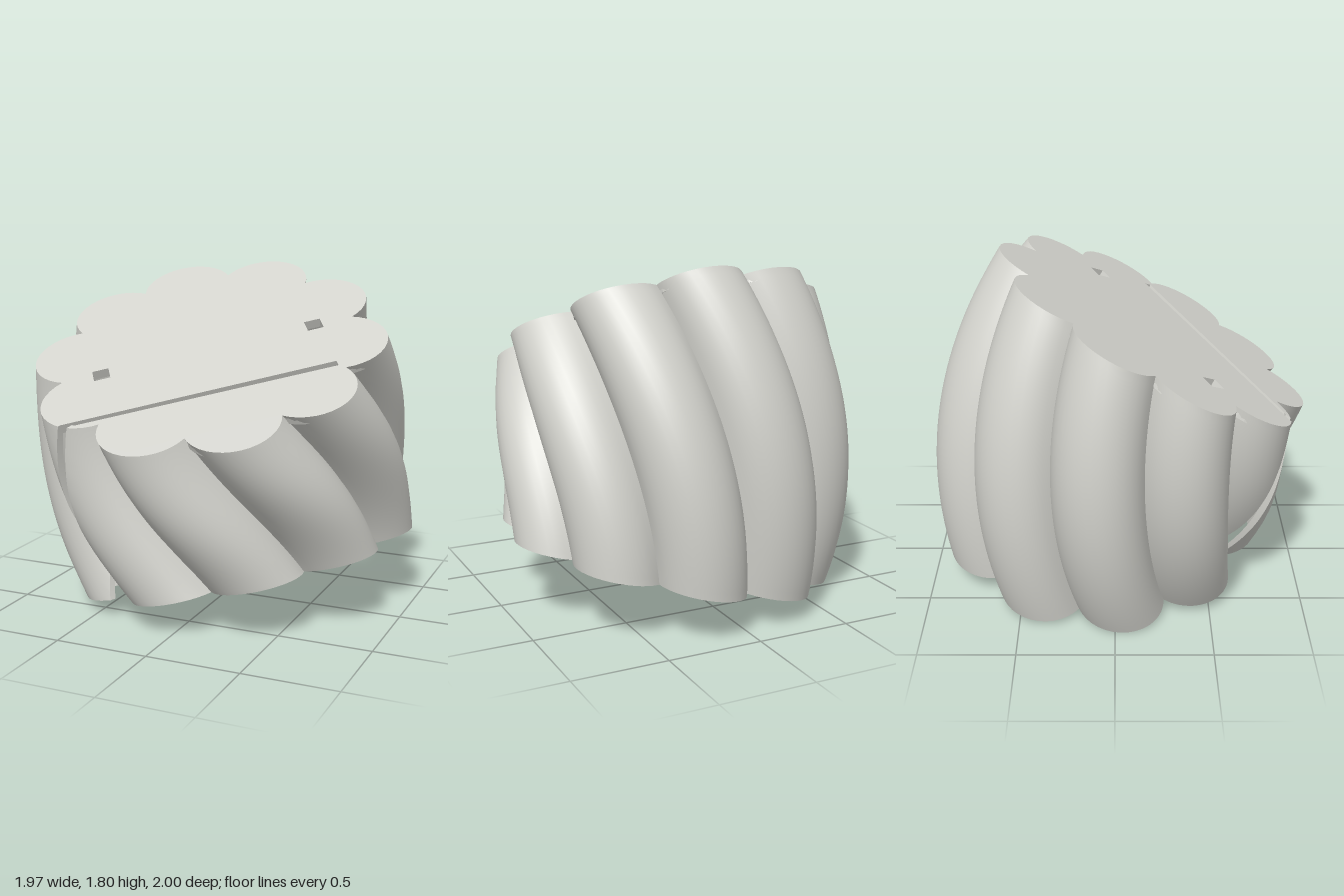
import * as THREE from 'three';
import { toCreasedNormals } from 'three/addons/utils/BufferGeometryUtils.js';

const rad = THREE.MathUtils.degToRad;
const { lerp, clamp } = THREE.MathUtils;
const V = (x, y, z) => new THREE.Vector3(x, y, z);

// Ten-lobed section: circles of radius R centred C from the axis
const C = 0.662, R = 0.233, INNER = 0.965;
const STEP = 36, PHASE = 8.7, TWIST = 36;
const SLOT_ANGLE = 28; // direction shared by slot, holes, tabs and the oval's long axis
const OVAL_LONG = 1.052, OVAL_SHORT = 0.982;

// Frames of the two ends of the bent body (y = axis)
const frame = (x, z) => {
  x.normalize();
  z.normalize();
  return new THREE.Quaternion().setFromRotationMatrix(
    new THREE.Matrix4().makeBasis(x, z.clone().cross(x).normalize(), z));
};
const bottomQ = frame(V(0.974, 0.226, 0), V(0, 0, 1));
const topQ = frame(V(0.996, 0, -0.091), V(0.081, -0.452, 0.888));
const bottomC = V(0.085, 0.205, -0.1), topC = V(-0.02, 1.397, 0.202);
const axisOf = (q) => V(0, 1, 0).applyQuaternion(q);
const spine = new THREE.CubicBezierCurve3(
  bottomC, bottomC.clone().addScaledVector(axisOf(bottomQ), 0.415),
  topC.clone().addScaledVector(axisOf(topQ), -0.415), topC);

// Angles along the lobes, evenly spaced on each arc, lobes 3 to 14
const angles = [];
const psiMax = rad(79.4), SEG = 16;
for (let k = 3; k < 15; k++) {
  for (let s = 0; s < SEG; s++) {
    const psi = lerp(-psiMax, psiMax, s / SEG);
    const phi = Math.atan2(R * Math.sin(psi), C + R * Math.cos(psi));
    angles.push(PHASE + STEP * (k + 0.5) + THREE.MathUtils.radToDeg(phi));
  }
}
angles.push(PHASE + STEP * 15);

// Section radius at an angle and height t, with a slight barrel bulge
function radius(deg, t) {
  const notch = PHASE - TWIST * (1 - t);
  const phi = rad(THREE.MathUtils.euclideanModulo(deg - notch, STEP) - STEP / 2);
  const arc = C * Math.cos(phi) + Math.sqrt(R * R - (C * Math.sin(phi)) ** 2);
  return arc * (1 + 0.065 * Math.sin(Math.PI * t));
}

// One open oval ring of [x, z] points; the wall stops at both sides of the slit
function ring(t, scale) {
  const from = lerp(123.5, 127.3, t), to = lerp(477.2, 484.4, t);
  const origin = new THREE.Vector2(), a = rad(SLOT_ANGLE);
  return angles.map((angle) => {
    const deg = clamp(angle - TWIST * (1 - t), from, to);
    const r = radius(deg, t) * scale;
    const p = new THREE.Vector2(r * Math.cos(rad(deg)), r * Math.sin(rad(deg)));
    p.rotateAround(origin, a);
    p.set(p.x * OVAL_LONG, p.y * OVAL_SHORT);
    return p.rotateAround(origin, -a).toArray();
  });
}

// Twisted shell with inner and outer faces, rims and slit edges
function shellGeometry() {
  const LEVELS = 40, n = angles.length, m = 2 * n;
  const pos = [], idx = [];
  for (let i = 0; i <= LEVELS; i++) {
    const t = i / LEVELS;
    const q = bottomQ.clone().slerp(topQ, t), c = spine.getPoint(t);
    for (const [x, z] of [...ring(t, 1), ...ring(t, INNER).reverse()]) {
      pos.push(...V(x, 0, z).applyQuaternion(q).add(c).toArray());
    }
  }
  const quad = (a, b, c, d) => idx.push(a, b, c, a, c, d);
  for (let i = 0; i < LEVELS; i++) {
    for (let j = 0; j < m; j++) {
      const k = (j + 1) % m;
      quad(i * m + j, (i + 1) * m + j, (i + 1) * m + k, i * m + k);
    }
  }
  const top = LEVELS * m;
  for (let j = 0; j < n - 1; j++) {
    const inner = m - 1 - j;
    quad(top + inner, top + inner - 1, top + j + 1, top + j);
    quad(j, j + 1, inner - 1, inner);
  }
  const g = new THREE.BufferGeometry();
  g.setAttribute('position', new THREE.Float32BufferAttribute(pos, 3));
  g.setIndex(idx);
  return toCreasedNormals(g, rad(40));
}

function rectangle(Type, u0, u1, v0, v1) {
  return new Type([[u0, v0], [u1, v0], [u1, v1], [u0, v1]].map((p) => new THREE.Vector2(...p)));
}

// Extrudes a shape drawn in x, z downwards from y = 0
const plate = (shape, depth) =>
  new THREE.ExtrudeGeometry(shape, { depth, bevelEnabled: false }).rotateX(Math.PI / 2);

// Lobed lid with a long slot and two square holes
function lidGeometry() {
  const a = rad(-SLOT_ANGLE), o = new THREE.Vector2();
  const turn = (p) => p.rotateAround(o, a);
  const pts = ring(1, 0.985).map((p) => new THREE.Vector2(...p))
    .filter((p, i, all) => i === 0 || p.distanceTo(all[i - 1]) > 1e-5);
  pts.push(turn(new THREE.Vector2(0.595, 0.403)), turn(new THREE.Vector2(0.595, 0.363)));
  const shape = new THREE.Shape(pts);
  for (const u of [-0.573, 0.573]) {
    const hole = rectangle(THREE.Path, u - 0.043, u + 0.043, -0.043, 0.043).getPoints();
    shape.holes.push(new THREE.Path(hole.map(turn)));
  }
  return plate(shape, 0.05);
}

// Pierced block joining the inside of the wall at the open end
function tabGeometry() {
  const shape = rectangle(THREE.Shape, 0.46, 0.765, -0.1, 0.1);
  shape.holes.push(rectangle(THREE.Path, 0.53, 0.616, -0.043, 0.043));
  return plate(shape, 0.09).translate(0, 0.09, 0);
}

export function createModel() {
  const model = new THREE.Group();
  model.name = 'twistedScallopedCover';
  const grey = new THREE.MeshStandardMaterial({ color: 0xd2d2cc });
  grey.name = 'warmGrey';
  const add = (parent, geometry, name) => {
    const mesh = new THREE.Mesh(geometry, grey);
    mesh.name = name;
    parent.add(mesh);
    return mesh;
  };

  add(model, shellGeometry(), 'twistedWall');

  const lid = add(model, lidGeometry(), 'slottedLid');
  lid.position.copy(topC);
  lid.quaternion.copy(topQ);

  const base = new THREE.Group();
  base.name = 'mountingTabs';
  base.position.copy(bottomC);
  base.quaternion.copy(bottomQ);
  const tab = tabGeometry();
  add(base, tab, 'leftTab').rotation.y = rad(SLOT_ANGLE);
  add(base, tab, 'rightTab').rotation.y = rad(SLOT_ANGLE + 180);
  model.add(base);
  return model;
}
